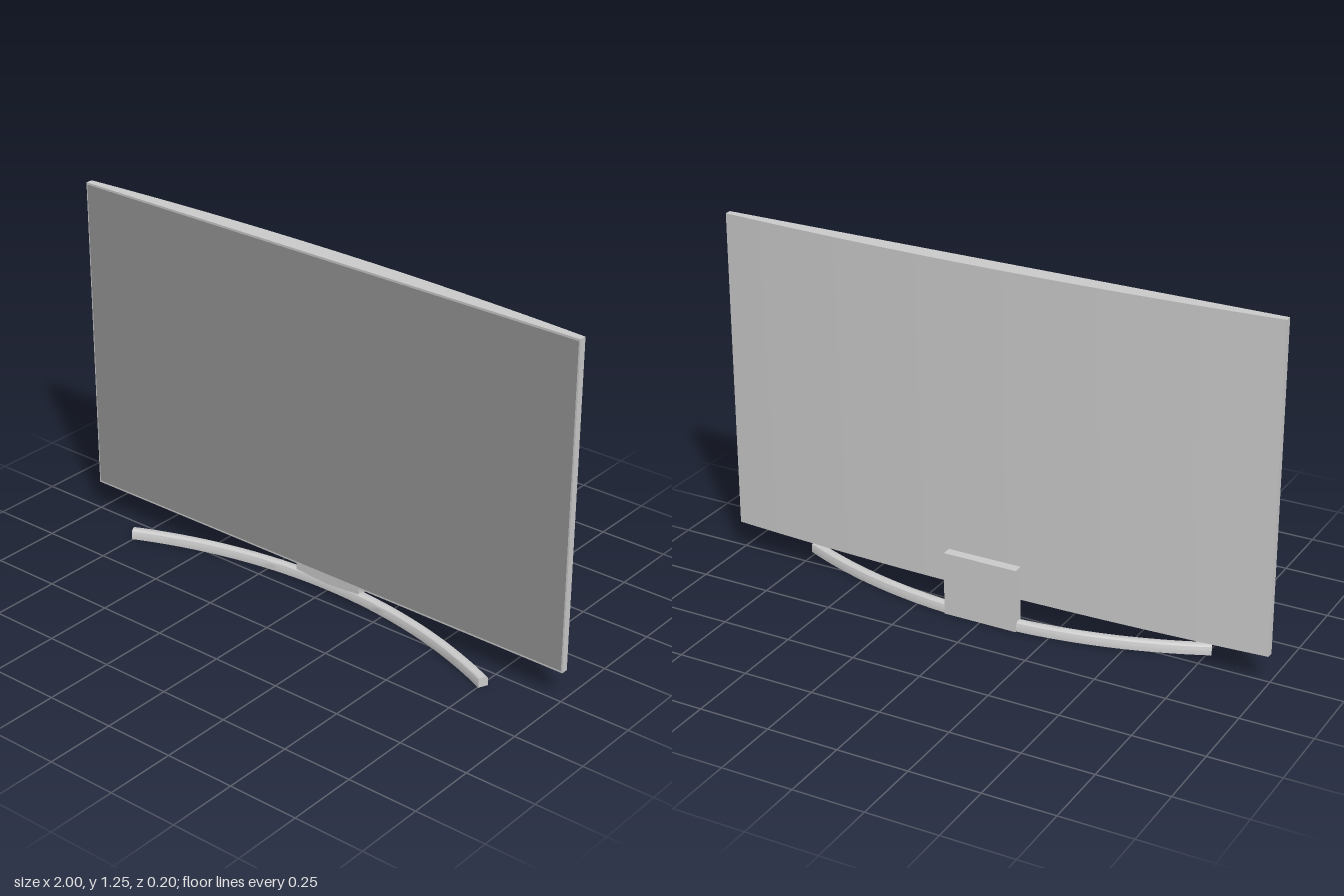
import * as THREE from 'three';
import { toCreasedNormals } from 'three/addons/utils/BufferGeometryUtils.js';

const grey = new THREE.MeshStandardMaterial({ color: 0xcccccc });
const dark = new THREE.MeshStandardMaterial({ color: 0x949494 });

function part(name, geometry, material = grey) {
  const mesh = new THREE.Mesh(geometry, material);
  mesh.name = name;
  return mesh;
}

// Housing: flat front, gently bowed back, extruded upwards
function housingGeometry(bottom, top) {
  const shape = new THREE.Shape();
  shape.moveTo(-1, 0);
  shape.lineTo(1, 0);
  const segments = 24;
  for (let i = 0; i <= segments; i++) {
    const x = 1 - (2 * i) / segments;
    shape.lineTo(x, 0.065 - 0.04 * x * x);
  }
  shape.closePath();
  const g = new THREE.ExtrudeGeometry(shape, { depth: top - bottom, bevelEnabled: false });
  g.rotateX(-Math.PI / 2);
  g.translate(0, bottom, 0);
  return toCreasedNormals(g, 0.4);
}

// Foot: bar with rounded top edges, extruded straight and then bent along an arc
function footGeometry() {
  const w = 0.0175, h = 0.035, r = 0.012, R = 1.82, halfAngle = 0.431;
  const shape = new THREE.Shape();
  shape.moveTo(-w, 0);
  shape.lineTo(w, 0);
  shape.lineTo(w, h - r);
  shape.absarc(w - r, h - r, r, 0, Math.PI / 2);
  shape.absarc(-w + r, h - r, r, Math.PI / 2, Math.PI);
  shape.closePath();
  const g = new THREE.ExtrudeGeometry(shape, { depth: 1, steps: 40, curveSegments: 6, bevelEnabled: false });
  const p = g.attributes.position;
  for (let i = 0; i < p.count; i++) {
    const a = (p.getZ(i) * 2 - 1) * halfAngle;
    const radius = R + p.getX(i);
    p.setXYZ(i, radius * Math.sin(a), p.getY(i), R - 0.0825 - radius * Math.cos(a));
  }
  return toCreasedNormals(g, 0.6);
}

export function createModel() {
  const model = new THREE.Group();
  model.name = 'television';
  const bottom = 0.105, top = 1.25;

  model.add(part('housing', housingGeometry(bottom, top)));

  // Display panel, leaving a slim bezel
  const screen = part('screen', new THREE.PlaneGeometry(1.99, top - bottom - 0.014), dark);
  screen.position.set(0, (top + bottom) / 2, 0.001);
  model.add(screen);

  // Upright plate behind the housing
  const bracket = part('standBracket', new THREE.BoxGeometry(0.27, 0.228, 0.035));
  bracket.position.set(0, 0.114, -0.0825);
  model.add(bracket);

  model.add(part('curvedFoot', footGeometry()));
  return model;
}
